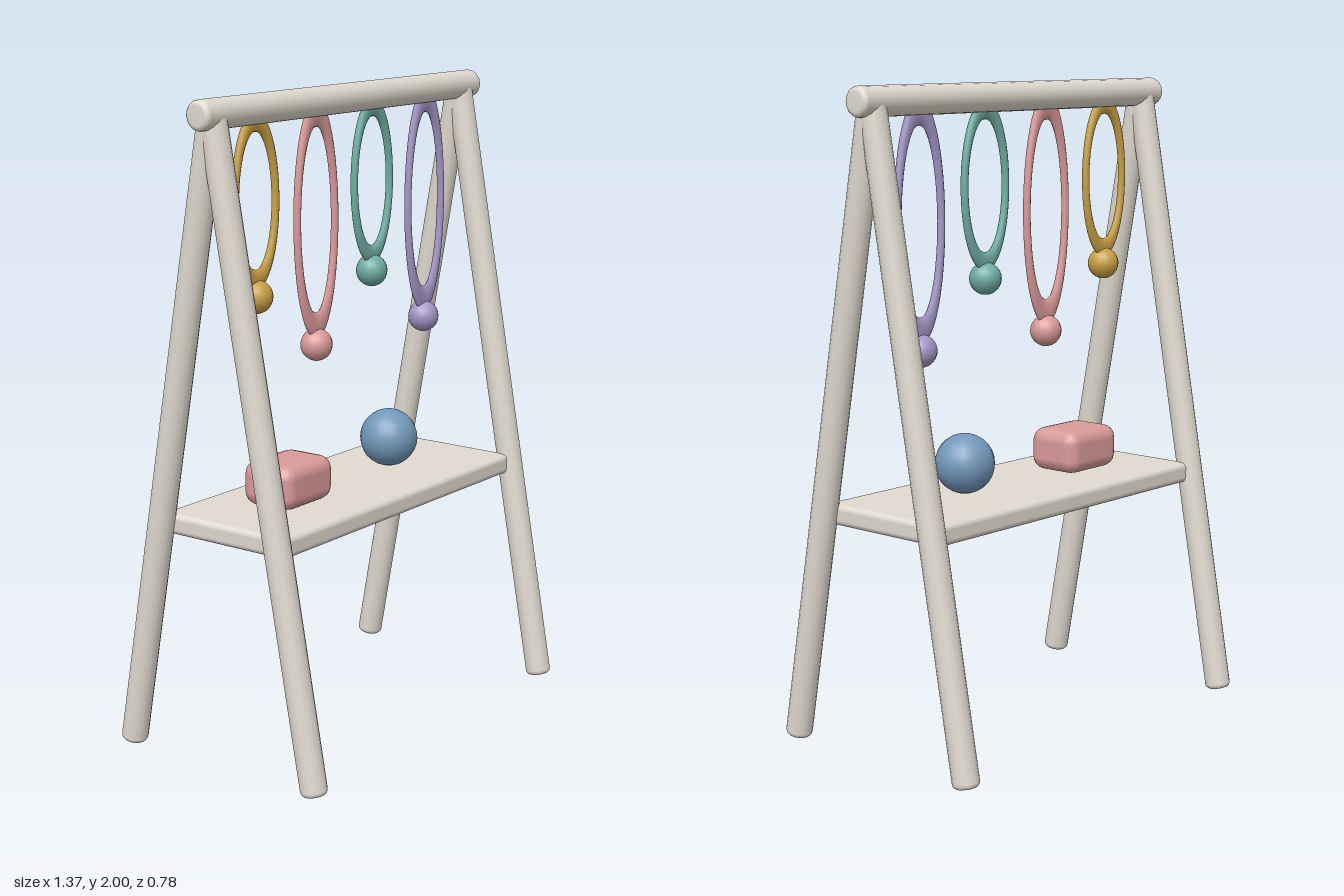
import * as THREE from 'three';
import { RoundedBoxGeometry } from 'three/addons/geometries/RoundedBoxGeometry.js';

const paint = (color) => new THREE.MeshStandardMaterial({ color });
const wood = paint(0xe0dacf);
const yellow = paint(0xc9a145);
const pink = paint(0xdb9a9a);
const green = paint(0x6fada2);
const purple = paint(0xa396c6);
const blue = paint(0x7398bb);

// Round pole with softened ends, running from point a to point b
function pole(name, a, b, r) {
  const half = a.distanceTo(b) / 2;
  const soft = 0.016;
  const profile = [new THREE.Vector2(0, -half)];
  for (let i = 0; i <= 3; i++) {
    const t = (i / 3) * Math.PI / 2;
    profile.push(new THREE.Vector2(r - soft + soft * Math.sin(t), -half + soft - soft * Math.cos(t)));
  }
  const upper = profile.map((p) => new THREE.Vector2(p.x, -p.y)).reverse();
  const mesh = new THREE.Mesh(new THREE.LatheGeometry([...profile, ...upper], 16), wood);
  mesh.name = name;
  mesh.position.copy(a).add(b).multiplyScalar(0.5);
  mesh.quaternion.setFromUnitVectors(new THREE.Vector3(0, 1, 0), b.clone().sub(a).normalize());
  return mesh;
}

// Oval hoop hanging from the bar with a bead at its lowest point
function hangingRing(name, x, centerY, height, beadY, material) {
  const group = new THREE.Group();
  group.name = name;
  const hoop = new THREE.Mesh(new THREE.TorusGeometry(0.092, 0.012, 10, 48), material);
  hoop.name = 'hoop';
  hoop.scale.y = height / 0.104;
  hoop.position.y = centerY;
  const bead = new THREE.Mesh(new THREE.SphereGeometry(0.05, 16, 12), material);
  bead.name = 'bead';
  bead.position.y = beadY;
  group.add(hoop, bead);
  group.position.x = x;
  return group;
}

export function createModel() {
  const model = new THREE.Group();
  model.name = 'playFrame';

  // A-frame legs and top bar
  for (const sx of [-1, 1]) {
    for (const sz of [-1, 1]) {
      const name = (sz > 0 ? 'front' : 'back') + (sx > 0 ? 'Left' : 'Right') + 'Leg';
      model.add(pole(name,
        new THREE.Vector3(sx * 0.617, 0.005, sz * 0.353),
        new THREE.Vector3(sx * 0.617, 1.957, 0), 0.041));
    }
  }
  model.add(pole('topBar', new THREE.Vector3(-0.685, 1.955, 0), new THREE.Vector3(0.685, 1.955, 0), 0.045));

  // Shelf between the legs
  const shelf = new THREE.Mesh(new RoundedBoxGeometry(1.2, 0.065, 0.47, 3, 0.018), wood);
  shelf.name = 'shelf';
  shelf.position.y = 0.7225;
  model.add(shelf);

  // Hanging rings
  model.add(
    hangingRing('yellowRing', -0.43, 1.69, 0.26, 1.41, yellow),
    hangingRing('pinkRing', -0.144, 1.6, 0.365, 1.22, pink),
    hangingRing('greenRing', 0.14, 1.69, 0.26, 1.41, green),
    hangingRing('purpleRing', 0.426, 1.6, 0.365, 1.22, purple),
  );

  // Toys on the shelf
  const block = new THREE.Mesh(new RoundedBoxGeometry(0.237, 0.138, 0.187, 2, 0.042), pink);
  block.name = 'toyBlock';
  block.position.set(-0.286, 0.825, 0);
  const ball = new THREE.Mesh(new THREE.SphereGeometry(0.093, 18, 14), blue);
  ball.name = 'toyBall';
  ball.position.set(0.236, 0.851, 0);
  model.add(block, ball);

  return model;
}
